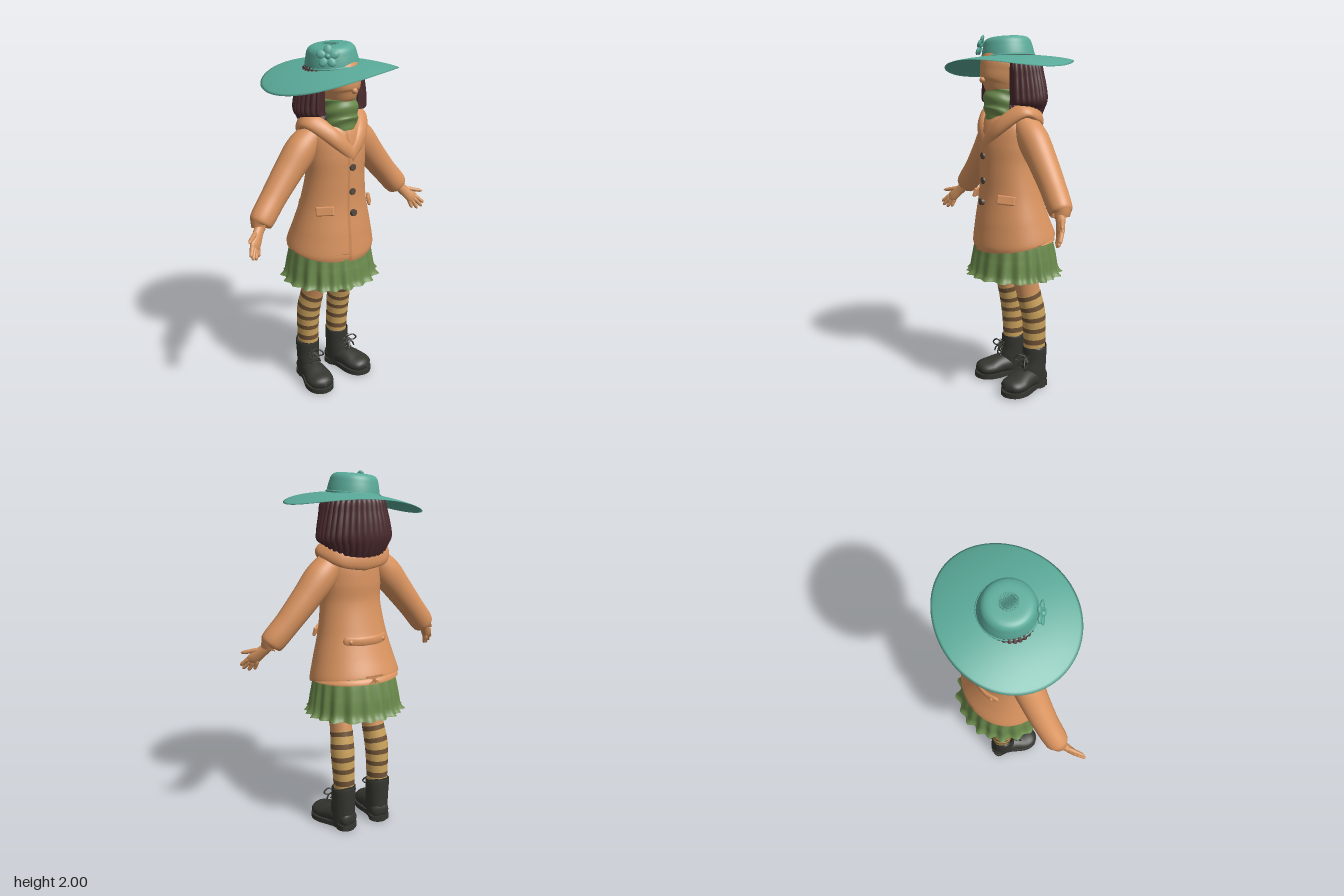
import * as THREE from 'three';
import { ParametricGeometry } from 'three/addons/geometries/ParametricGeometry.js';
import { RoundedBoxGeometry } from 'three/addons/geometries/RoundedBoxGeometry.js';

const TAU = Math.PI * 2, FRONT = Math.PI * 1.5;
const { lerp, smoothstep } = THREE.MathUtils;

// Smooth interpolation of all columns of a table of rows
function sample(rows, t) {
  const n = rows.length - 1, f = Math.min(Math.max(t, 0), 1) * n;
  const i = Math.min(Math.floor(f), n - 1), s = f - i;
  const p = rows[Math.max(i - 1, 0)], a = rows[i], b = rows[i + 1], q = rows[Math.min(i + 2, n)];
  return a.map((_, k) => {
    const m0 = (b[k] - p[k]) / 2, m1 = (q[k] - a[k]) / 2, d = b[k] - a[k];
    return a[k] + s * (m0 + s * (3 * d - 2 * m0 - m1 + s * (m0 + m1 - 2 * d)));
  });
}

// Elliptical sections swept along rows of [x, y, z, radiusA, radiusB]
function sweep(rows, { nu = 24, nv = 16, ref = [0, 0, 1], t0 = 0, t1 = 1, angle = u => u * TAU, mod = () => 1 } = {}) {
  const T = new THREE.Vector3(), A = new THREE.Vector3(), B = new THREE.Vector3(), R = new THREE.Vector3(...ref);
  return new ParametricGeometry((u, v, out) => {
    const t = lerp(t0, t1, v), r = sample(rows, t);
    T.set(...sample(rows, t + 0.002)).sub(B.set(...sample(rows, t - 0.002))).normalize();
    A.crossVectors(T, R).normalize();
    B.crossVectors(T, A);
    const a = angle(u, v), m = mod(a, v, u);
    out.set(r[0], r[1], r[2]).addScaledVector(A, r[3] * m * Math.cos(a)).addScaledVector(B, r[4] * m * Math.sin(a));
  }, nu, nv);
}

export function createModel() {
  const model = new THREE.Group();
  const mat = (name, color, side = THREE.FrontSide) => Object.assign(new THREE.MeshStandardMaterial({ color, side }), { name });
  const D = THREE.DoubleSide;
  const teal = mat('teal felt', 0x5aaa99, D), coatM = mat('orange cloth', 0xd9935f, D), skin = mat('skin', 0xd4935f);
  const green = mat('green cloth', 0x6b8a4c, D), hairM = mat('dark hair', 0x4a2a2d, D), tan = mat('tan wool', 0xcba25c);
  const brown = mat('brown wool', 0x6f5236), leather = mat('black leather', 0x353630), buttonM = mat('dark button', 0x574a40);
  const add = (name, geo, m, parent = model) => {
    const mesh = new THREE.Mesh(geo, m);
    mesh.name = name;
    parent.add(mesh);
    return mesh;
  };

  // Coat body, with a raised overlap down the front
  add('coat', sweep([[0, 0.9, -0.02, 0.24, 0.2], [0, 0.89, -0.02, 0.262, 0.222], [0, 1.0, -0.005, 0.235, 0.195], [0, 1.15, 0.01, 0.197, 0.16],
    [0, 1.3, 0.025, 0.176, 0.142], [0, 1.42, 0.025, 0.178, 0.142], [0, 1.52, 0.02, 0.17, 0.13], [0, 1.6, 0.01, 0.12, 0.1]], {
    nu: 128, nv: 42, mod: a => {
      const d = a - FRONT;
      return 1 + 0.035 * smoothstep(d, -0.18, -0.13) * (1 - smoothstep(d, -0.05, 0.8));
    },
  }), coatM);
  [[1.36, 0.173], [1.225, 0.172], [1.107, 0.185]].forEach(([y, z]) => {
    const b = add('coatButton', new THREE.CylinderGeometry(0.018, 0.02, 0.016, 20), buttonM);
    b.position.set(-0.005, y, z);
    b.rotation.x = Math.PI / 2;
  });

  // Hood draped on the shoulders, running into the lapels: outer edge, then inner edge
  const hoodRows = [[0, 1.38, 0.165, 0, 1.5, 0.13], [0.105, 1.475, 0.135, 0.07, 1.565, 0.115], [0.2, 1.57, 0.04, 0.125, 1.63, 0.05],
    [0.2, 1.55, -0.04, 0.14, 1.64, -0.02], [0.13, 1.51, -0.115, 0.1, 1.63, -0.08], [0, 1.49, -0.135, 0, 1.62, -0.1]];
  add('hood', new ParametricGeometry((u, v, out) => {
    const r = sample(hoodRows, 1 - Math.abs(2 * u - 1)), k = 0.5 - 0.5 * Math.cos(v * TAU);
    const n = new THREE.Vector3(r[0], 0.1, r[2]).setLength(0.03 * Math.sin(v * TAU));
    out.set(lerp(r[0], r[3], k), lerp(r[1], r[4], k), lerp(r[2], r[5], k)).add(n);
    if (u > 0.5) out.x *= -1;
  }, 72, 20), coatM);

  // Half belt across the back
  add('backBelt', sweep([[-0.13, 1.11, -0.118, 0.001, 0.001], [-0.12, 1.11, -0.13, 0.026, 0.012], [-0.06, 1.11, -0.16, 0.027, 0.012],
    [0, 1.11, -0.167, 0.027, 0.012], [0.06, 1.11, -0.16, 0.027, 0.012], [0.12, 1.11, -0.13, 0.026, 0.012], [0.13, 1.11, -0.118, 0.001, 0.001]], { nv: 36 }), coatM);

  // Skirt with pleats opening towards the ruffled hem
  add('skirt', sweep([[0, 0.685, -0.02, 0.28, 0.258], [0, 0.715, -0.02, 0.262, 0.238], [0, 0.8, -0.02, 0.25, 0.224], [0, 0.9, -0.015, 0.23, 0.2],
    [0, 0.98, -0.005, 0.18, 0.15]], {
    nu: 200, nv: 20, mod: (a, v) => 1 + (1 - v) * (0.045 * Math.sin(20 * a + Math.sin(3 * a)) + 0.02 * (1 - v) * Math.sin(13 * a)),
  }), green);

  // Scarf with slanting folds
  add('scarf', sweep([[0, 1.47, 0.11, 0.025, 0.025], [0, 1.54, 0.08, 0.08, 0.07], [0, 1.6, 0.06, 0.1, 0.095], [0, 1.66, 0.055, 0.1, 0.1],
    [0, 1.71, 0.05, 0.095, 0.095], [0, 1.72, 0.05, 0.075, 0.075]], {
    nu: 64, nv: 48, mod: (a, v) => 1 + 0.04 * Math.sin(v * 26 + 2.2 * Math.sin(a)),
  }), green);

  // Head and nose
  add('head', sweep([[0, 1.665, 0.09, 0.002, 0.002], [0, 1.685, 0.08, 0.06, 0.075], [0, 1.74, 0.06, 0.095, 0.115], [0, 1.8, 0.05, 0.112, 0.126],
    [0, 1.86, 0.04, 0.118, 0.125], [0, 1.92, 0.03, 0.08, 0.09], [0, 1.94, 0.03, 0.002, 0.002]], { nu: 40, nv: 30 }), skin);
  const nose = add('nose', new THREE.SphereGeometry(0.016, 16, 12), skin);
  nose.position.set(0, 1.765, 0.176);

  // Bob of hair, open at the face, with ridged strands and curled edges
  add('hair', sweep([[0, 1.66, -0.01, 0.14, 0.11], [0, 1.622, -0.018, 0.18, 0.145], [0, 1.65, -0.02, 0.213, 0.165], [0, 1.71, -0.015, 0.208, 0.168],
    [0, 1.78, -0.008, 0.193, 0.163], [0, 1.85, 0, 0.174, 0.155], [0, 1.91, 0, 0.12, 0.11]], {
    nu: 220, nv: 26,
    angle: (u, v) => FRONT + lerp(lerp(0.62, 0.95, v), TAU - lerp(0.62, 0.95, v), u),
    mod: (a, v, u) => (0.975 + 0.04 * Math.abs(Math.sin(u * Math.PI * 26 + 0.8 * Math.sin(v * 3)))) * (0.78 + 0.22 * smoothstep(Math.min(u, 1 - u), 0, 0.035)),
  }), hairM);

  // Hat: drooping brim made as one thin closed shell, tilted crown and band
  const hat = new THREE.Group();
  hat.name = 'hat';
  model.add(hat);
  add('hatBrim', new ParametricGeometry((u, v, out) => {
    const a = u * TAU, k = 1 - Math.abs(2 * v - 1), r = lerp(0.3, 1, k);
    const x = 0.384 * r * Math.sin(a), z = 0.333 * r * Math.cos(a) * (1 - 0.09 * r * Math.sin(a));
    const thick = 0.006 * Math.sqrt(Math.max(0, 1 - k * k));
    out.set(x, 1.886 + 0.09 * x - 0.56 * x * x - 0.2 * z * z + (v < 0.5 ? -thick : thick), z);
  }, 96, 40), teal);
  const crown = new THREE.Group();
  crown.name = 'hatCrown';
  crown.position.set(-0.01, 1.885, 0.01);
  crown.rotation.z = 0.1;
  hat.add(crown);
  add('crown', sweep([[0, -0.03, 0, 0.145, 0.146], [0, 0.01, 0, 0.141, 0.143], [0, 0.05, 0, 0.133, 0.135], [0, 0.083, 0, 0.122, 0.124],
    [0, 0.1, 0, 0.098, 0.1], [0, 0.104, 0, 0.05, 0.05], [0, 0.103, 0, 0.001, 0.001]], { nu: 56, nv: 30 }), teal, crown);
  add('crownSeam', new THREE.TorusGeometry(0.143, 0.006, 8, 56).rotateX(Math.PI / 2), teal, crown);

  // Flower on the hat
  const flower = new THREE.Group();
  flower.name = 'flower';
  flower.position.set(-0.125, 1.942, 0.112);
  flower.lookAt(-0.125 - 0.65, 1.942 + 0.3, 0.112 + 0.7);
  hat.add(flower);
  for (let i = 0; i < 5; i++) {
    const a = i * TAU / 5 + 0.3, petal = add('petal', new THREE.SphereGeometry(1, 16, 12), teal, flower);
    petal.scale.set(0.026, 0.021, 0.009);
    petal.position.set(0.034 * Math.cos(a), 0.034 * Math.sin(a), 0.004);
    petal.rotation.z = a;
  }
  add('flowerCentre', new THREE.SphereGeometry(0.015, 16, 12), teal, flower).position.z = 0.008;

  // Sole outline, shared by both boots
  const half = [[0.055, -0.05], [0.054, 0.03], [0.08, 0.14], [0.062, 0.212]];
  const outline = [[0, -0.076], ...half, [0, 0.242], ...half.slice().reverse().map(([x, z]) => [-x, z])];
  const soleCurve = new THREE.SplineCurve([...outline, outline[0]].map(p => new THREE.Vector2(...p)));
  const sole = new THREE.ExtrudeGeometry(new THREE.Shape(soleCurve.getPoints(48)), { depth: 0.028, bevelEnabled: false })
    .rotateX(Math.PI / 2).translate(0, 0.036, 0);

  for (const s of [1, -1]) {
    const side = rows => rows.map(([x, ...rest]) => [s * x, ...rest]);

    // Sleeve
    add('sleeve', sweep(side([[0.12, 1.55, -0.005, 0.06, 0.07], [0.205, 1.455, -0.012, 0.087, 0.083], [0.3, 1.345, -0.012, 0.079, 0.077],
      [0.4, 1.23, -0.005, 0.07, 0.069], [0.492, 1.126, 0.01, 0.065, 0.061], [0.501, 1.114, 0.012, 0.03, 0.03]]), { nu: 32, nv: 40 }), coatM);

    // Hand: flat palm, four spread fingers and a thumb
    const hand = new THREE.Group();
    hand.name = 'hand';
    model.add(hand);
    add('palm', sweep(side([[0.48, 1.135, 0.005, 0.03, 0.028], [0.53, 1.083, 0.037, 0.031, 0.022], [0.573, 1.037, 0.068, 0.036, 0.017],
      [0.588, 1.02, 0.079, 0.024, 0.009], [0.591, 1.017, 0.081, 0.001, 0.001]])), skin, hand);
    [[[0.592, 1.042, 0.073], [0.633, 0.998, 0.113]], [[0.583, 1.03, 0.075], [0.62, 0.977, 0.112]], [[0.57, 1.024, 0.07], [0.592, 0.966, 0.1]],
      [[0.556, 1.025, 0.061], [0.563, 0.972, 0.083]], [[0.545, 1.09, 0.038], [0.632, 1.07, 0.1]]].forEach(([p, q], i) => {
      const at = (k, r) => [...p.map((c, j) => lerp(c, q[j], k)), r, r];
      add(i < 4 ? 'finger' : 'thumb', sweep(side([at(-0.15, 0.01), at(0.2, 0.013), at(0.5, 0.0115), at(0.85, 0.0095), at(1, 0.001)]), { nu: 12, nv: 12 }), skin, hand);
    });

    // Pocket flap and belt button
    const flap = add('pocketFlap', new RoundedBoxGeometry(0.1, 0.05, 0.018, 3, 0.007), coatM);
    flap.rotation.set(-0.25, s * 0.82, s * -0.08, 'YXZ');
    flap.position.set(s * 0.158, 1.135, 0.127);
    const stud = add('beltButton', new THREE.SphereGeometry(1, 16, 12), coatM);
    stud.scale.set(0.013, 0.013, 0.01);
    stud.position.set(s * 0.1, 1.11, -0.152);

    // Leg, bare above and in a striped stocking below
    const legRows = side([[0.11, 0.2, -0.092, 0.055, 0.062], [0.113, 0.33, -0.09, 0.06, 0.064], [0.114, 0.46, -0.08, 0.065, 0.067],
      [0.105, 0.59, -0.05, 0.06, 0.069], [0.105, 0.72, -0.015, 0.066, 0.075], [0.1, 0.85, 0.005, 0.08, 0.085], [0.09, 0.98, 0.01, 0.09, 0.095]]);
    const leg = (name, y0, y1, m, k) => add(name, sweep(legRows, { t0: (y0 - 0.2) / 0.78, t1: (y1 - 0.2) / 0.78, nu: 32, nv: 8, mod: () => k }), m);
    leg('leg', 0.55, 0.98, skin, 1);
    for (let i = 0; i < 5; i++) {
      const y = 0.281 + i * 0.067;
      leg('stockingBand', y - 0.041, y, tan, 1.03);
      leg('stockingStripe', y, y + 0.026, brown, 1.03);
    }
    leg('stockingTop', 0.575, 0.582, tan, 1.03);

    // Boot, toes turned out
    const boot = new THREE.Group();
    boot.name = 'boot';
    boot.position.set(s * 0.115, 0, -0.092);
    boot.rotation.y = s * 0.22;
    model.add(boot);
    add('bootShaft', sweep([[0, 0.04, 0, 0.06, 0.068], [0, 0.1, 0.008, 0.064, 0.076], [0, 0.17, 0.002, 0.066, 0.07], [0, 0.24, 0, 0.07, 0.069],
      [0, 0.252, 0, 0.066, 0.066], [0, 0.245, 0, 0.05, 0.052]], { nu: 32, nv: 30 }), leather, boot);
    add('bootFoot', sweep([[0, 0.06, -0.072, 0.002, 0.002], [0, 0.062, -0.055, 0.05, 0.045], [0, 0.07, 0.01, 0.06, 0.06], [0, 0.072, 0.08, 0.067, 0.056],
      [0, 0.062, 0.15, 0.08, 0.046], [0, 0.056, 0.21, 0.062, 0.036], [0, 0.05, 0.238, 0.002, 0.002]], { nu: 32, nv: 30, ref: [0, 1, 0] }), leather, boot);
    add('bootSole', sole, leather, boot);
    add('bootHeel', new THREE.CylinderGeometry(0.056, 0.054, 0.03, 24), leather, boot).position.set(0, 0.015, -0.016);
    add('bootTread', new RoundedBoxGeometry(0.13, 0.02, 0.1, 2, 0.008), leather, boot).position.set(0, 0.01, 0.14);

    // Crossed laces and a bow
    for (let i = 0; i < 4; i++) for (const d of [1, -1]) {
      const lace = add('lace', new THREE.CylinderGeometry(0.004, 0.004, 0.055, 6), leather, boot);
      lace.position.set(0, 0.125 + i * 0.026, 0.092 - i * 0.007);
      lace.rotation.z = Math.PI / 2 + d * 0.35;
    }
    for (const d of [1, -1]) {
      const path = [[0, 0.2, 0.072], [d * 0.03, 0.215, 0.1], [d * 0.05, 0.19, 0.112], [d * 0.032, 0.178, 0.1], [0, 0.198, 0.074], [d * 0.02, 0.17, 0.105], [d * 0.03, 0.145, 0.11]];
      add('laceBow', new THREE.TubeGeometry(new THREE.CatmullRomCurve3(path.map(p => new THREE.Vector3(...p))), 40, 0.0045, 6), leather, boot);
    }
  }
  return model;
}
